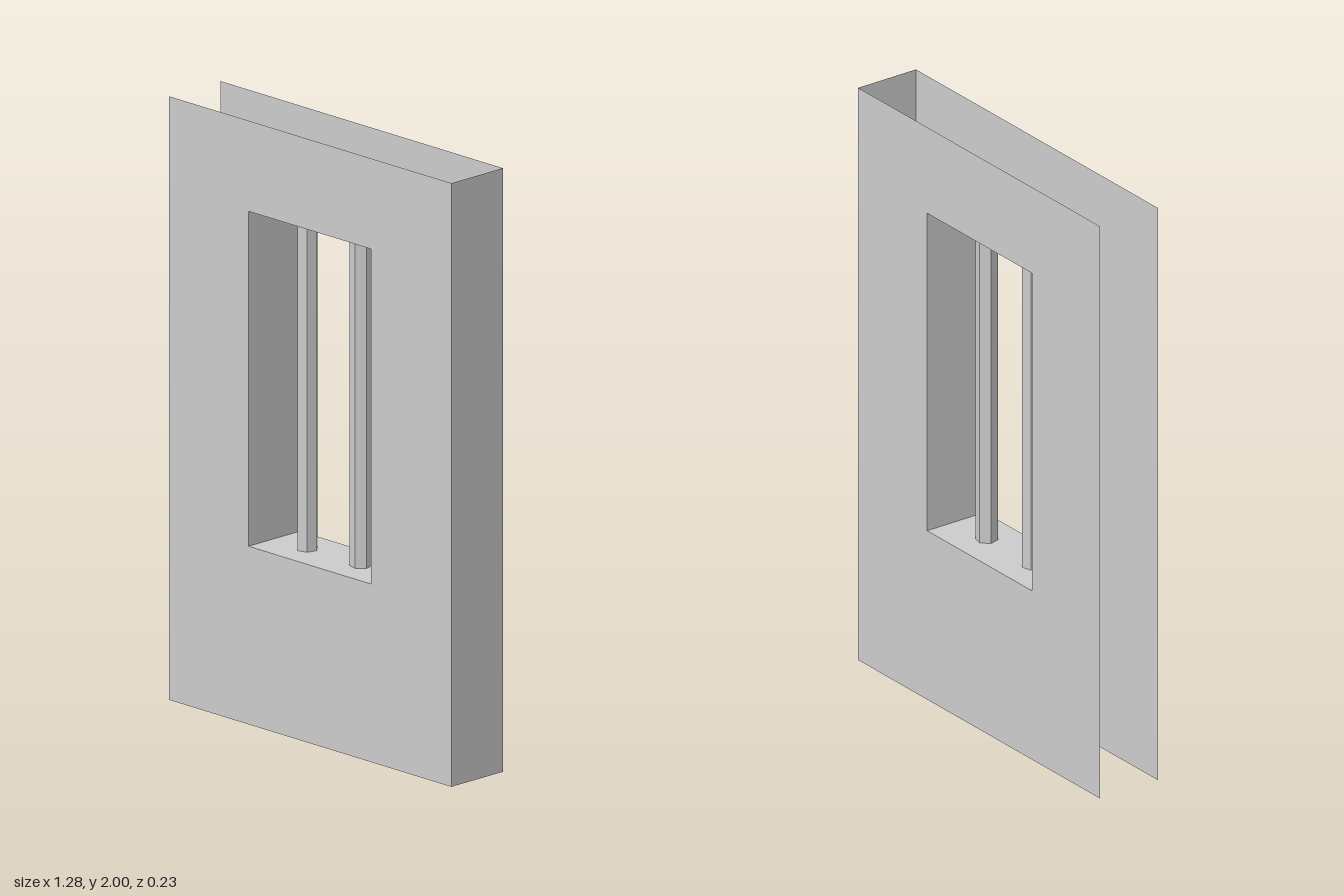
import * as THREE from 'three';

const HALF_W = 0.64, HEIGHT = 2, HALF_D = 0.114;
const opening = { left: -0.28, right: 0.275, bottom: 0.59, top: 1.7 };

// Hollow, thin-walled wall section with a barred window opening
export function createModel() {
  const model = new THREE.Group();
  model.name = 'barredWindowWall';
  const material = new THREE.MeshStandardMaterial({
    color: 0xcccccc, flatShading: true, side: THREE.DoubleSide,
  });

  const add = (name, geometry, x, y, z) => {
    const mesh = new THREE.Mesh(geometry, material);
    mesh.name = name;
    mesh.position.set(x, y, z);
    model.add(mesh);
    return mesh;
  };

  const rectangle = (path, x0, y0, x1, y1) =>
    path.moveTo(x0, y0).lineTo(x1, y0).lineTo(x1, y1).lineTo(x0, y1).closePath();

  // Front and back faces with the window cut out
  const face = rectangle(new THREE.Shape(), -HALF_W, 0, HALF_W, HEIGHT);
  const { left, right, bottom, top } = opening;
  face.holes.push(rectangle(new THREE.Path(), left, bottom, right, top));
  add('frontFace', new THREE.ShapeGeometry(face), 0, 0, HALF_D);
  add('backFace', new THREE.ShapeGeometry(face), 0, 0, -HALF_D);

  // Single end face; the top, bottom and other end stay open
  const upright = (height, turn) =>
    new THREE.PlaneGeometry(2 * HALF_D, height).rotateY(turn * Math.PI / 2);
  add('leftEndFace', upright(HEIGHT, 1), HALF_W, HEIGHT / 2, 0);

  // Window reveal: two jambs, sill and header
  const w = right - left, h = top - bottom;
  const midX = (left + right) / 2, midY = (bottom + top) / 2;
  const level = (turn) =>
    new THREE.PlaneGeometry(w, 2 * HALF_D).rotateX(turn * Math.PI / 2);
  add('rightJamb', upright(h, 1), left, midY, 0);
  add('leftJamb', upright(h, -1), right, midY, 0);
  add('sill', level(-1), midX, bottom, 0);
  add('header', level(1), midX, top, 0);

  // Hexagonal bars, each turned slightly
  for (const [name, x, turn] of [['rightBar', -0.13, -15], ['leftBar', 0.113, 15]]) {
    const bar = add(name, new THREE.CylinderGeometry(0.036, 0.036, h, 6, 1, true), x, midY, 0);
    bar.rotation.y = THREE.MathUtils.degToRad(turn);
  }

  return model;
}
